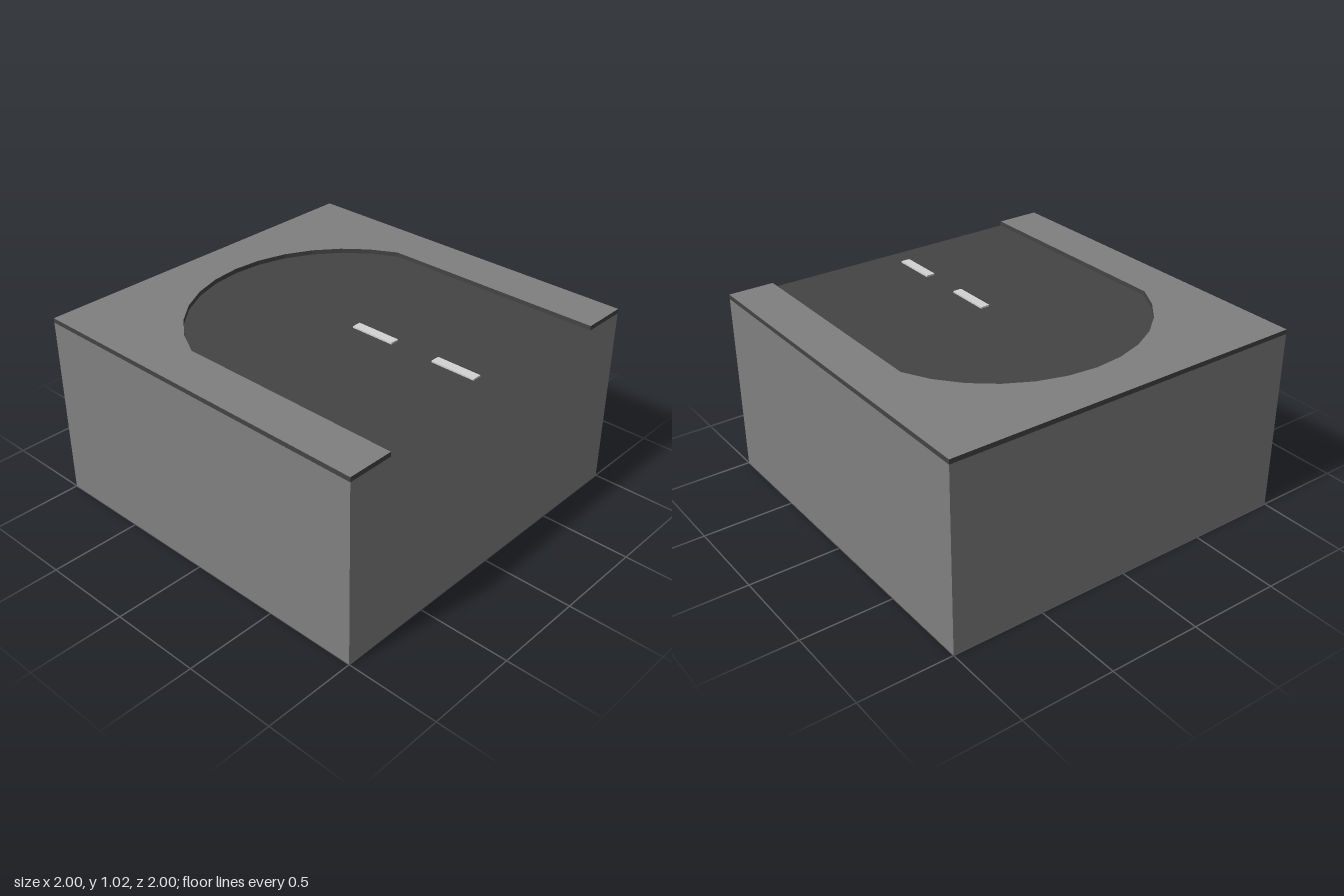
import * as THREE from 'three';

const paint = (name, color) => {
  const m = new THREE.MeshStandardMaterial({ color });
  m.name = name;
  return m;
};

export function createModel() {
  const group = new THREE.Group();
  group.name = 'roadEndTile';
  const concrete = paint('concrete grey', 0x808080);
  const asphalt = paint('asphalt dark grey', 0x444444);
  const marking = paint('marking light grey', 0xd3d3d3);

  const add = (name, geometry, material, x = 0, y = 0, z = 0) => {
    const mesh = new THREE.Mesh(geometry, material);
    mesh.name = name;
    mesh.position.set(x, y, z);
    group.add(mesh);
  };

  // Base block, its top face is the road surface
  const faces = [concrete, concrete, asphalt, concrete, concrete, concrete];
  add('baseBlock', new THREE.BoxGeometry(2, 1, 2), faces, 0, 0.5, 0);

  // Raised pavement around the rounded dead end, open towards +x
  const shape = new THREE.Shape();
  shape.moveTo(1, 0.75);
  shape.lineTo(1, 1);
  shape.lineTo(-1, 1);
  shape.lineTo(-1, -1);
  shape.lineTo(1, -1);
  shape.lineTo(1, -0.75);
  const radius = 0.8125, centre = 0.0625, steps = 12;
  const half = Math.atan2(0.75, 0.3125);
  for (let i = 0; i <= steps; i++) {
    const a = half * (2 * i / steps - 1);
    shape.lineTo(centre - radius * Math.cos(a), radius * Math.sin(a));
  }
  shape.closePath();
  const pavement = new THREE.ExtrudeGeometry(shape, { depth: 0.025, bevelEnabled: false });
  pavement.rotateX(-Math.PI / 2);
  add('pavement', pavement, [concrete, asphalt], 0, 1, 0);

  // Dashed centre line
  for (const x of [0.25, 0.75]) {
    add('laneDash', new THREE.BoxGeometry(0.25, 0.009, 0.05), marking, x, 1.0045, 0);
  }
  return group;
}
